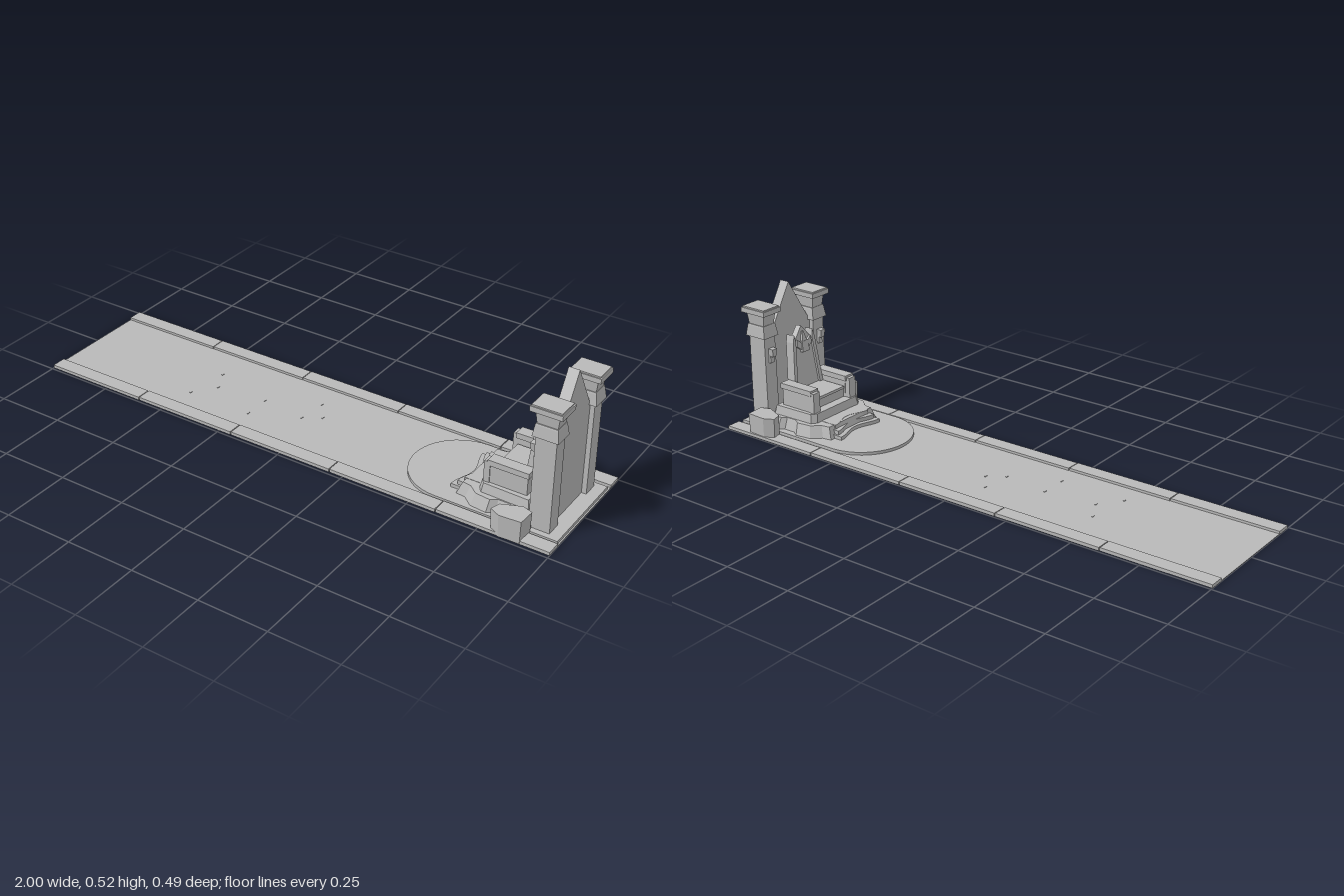
import * as THREE from 'three';

const stone = new THREE.MeshStandardMaterial({ color: 0xb8b8b8 });
stone.name = 'grey stone';

export function createModel() {
  const model = new THREE.Group();
  model.name = 'throneHall';

  const add = (name, geometry) => {
    const mesh = new THREE.Mesh(geometry, stone);
    mesh.name = name;
    model.add(mesh);
    return mesh;
  };
  const box = (name, x0, x1, y0, y1, z0, z1) => {
    const g = new THREE.BoxGeometry(x1 - x0, y1 - y0, Math.abs(z1 - z0));
    g.translate((x0 + x1) / 2, (y0 + y1) / 2, (z0 + z1) / 2);
    return add(name, g);
  };
  // Upright block on an (x, z) outline; the top is scaled about (cx, cz)
  const block = (name, pts, y0, y1, scale = 1, cx = 0, cz = 0) => {
    const shape = new THREE.Shape(pts.map(([x, z]) => new THREE.Vector2(x, -z)));
    const g = new THREE.ExtrudeGeometry(shape, { depth: y1 - y0, bevelEnabled: false });
    g.rotateX(-Math.PI / 2);
    const p = g.attributes.position;
    for (let i = 0; i < p.count; i++) {
      if (p.getY(i) > (y1 - y0) / 2) {
        p.setX(i, cx + (p.getX(i) - cx) * scale);
        p.setZ(i, cz + (p.getZ(i) - cz) * scale);
      }
    }
    g.translate(0, y0, 0);
    g.computeVertexNormals();
    return add(name, g);
  };
  const rect = (cx, cz, hx, hz) => [[cx - hx, cz - hz], [cx + hx, cz - hz], [cx + hx, cz + hz], [cx - hx, cz + hz]];
  const mirrored = (half) => [...half, ...half.slice().reverse().map(([x, z]) => [x, -z])];
  // Gable-shaped panel given as (z, y) corners, thick along x
  const panel = (name, pts, x0, x1) => {
    const g = new THREE.ExtrudeGeometry(new THREE.Shape(pts.map(([z, y]) => new THREE.Vector2(-z, y))),
      { depth: x1 - x0, bevelEnabled: false });
    g.rotateY(Math.PI / 2);
    g.translate(x0, 0, 0);
    return add(name, g);
  };

  // Floor, plinth and round platform
  box('floor', -1, 1, 0.001, 0.003, -0.192, 0.192);
  box('plinth', 0.56, 0.995, 0, 0.014, -0.177, 0.177);
  const disc = add('roundPlatform', new THREE.CylinderGeometry(0.177, 0.177, 0.014, 48));
  disc.position.set(0.56, 0.007, 0);

  // Kerbs in five segments on each side
  for (const s of [-1, 1]) {
    for (let i = 0; i < 5; i++) {
      const x = -1 + i * 0.4, shift = s < 0 ? i * 0.0012 : -i * 0.0012;
      box('kerb', x, x + (i < 4 ? 0.397 : 0.4), 0, 0.012, s * (0.188 + shift), s * (0.242 + shift));
    }
  }

  // Small chips on the floor
  for (const [x, z] of [[0, -0.02], [-0.06, 0.02], [-0.05, -0.09], [-0.23, 0.1], [-0.23, 0], [-0.42, 0.02], [-0.46, -0.06], [-0.48, 0.1]]) {
    box('floorChip', x - 0.002, x + 0.002, 0.002, 0.005, z - 0.006, z + 0.006);
  }

  // Back wall with pointed top
  panel('backWall', [[-0.105, 0.012], [0.105, 0.012], [0.105, 0.34], [0.092, 0.362], [0, 0.517], [-0.092, 0.362], [-0.105, 0.34]], 0.902, 0.94);

  for (const s of [-1, 1]) {
    // Pillar: shaft, collar, flared capital and slab
    const z = s * 0.128, x = 0.92;
    block('pillarShaft', rect(x, z, 0.037, 0.028), 0.012, 0.35, 0.97, x, z);
    block('pillarCollar', rect(x, z, 0.045, 0.036), 0.347, 0.386, 0.86, x, z);
    block('pillarRing', rect(x, z, 0.039, 0.031), 0.386, 0.392, 0.95, x, z);
    block('pillarCapital', rect(x, z, 0.035, 0.026), 0.39, 0.435, 1.17, x, z);
    block('pillarSlab', rect(x, z, 0.055, 0.043), 0.435, 0.453, 1, x, z);
    block('pillarTop', rect(x, z, 0.051, 0.039), 0.453, 0.458, 1, x, z);

    // Wall bracket on the pillar face
    box('bracketPlate', 0.875, 0.886, 0.25, 0.3, z - 0.009, z + 0.009);
    block('bracketCup', rect(0.871, z, 0.007, 0.008), 0.275, 0.305, 1.5, 0.871, z);

    // Rough boulder beside the pillar
    block('sideBoulder', [[0.79, 0.225], [0.825, 0.243], [0.897, 0.238], [0.9, 0.175], [0.865, 0.163], [0.8, 0.19]]
      .map(([a, b]) => [a, s * b]), 0.003, 0.084, 1.05, 0.85, s * 0.205);
  }

  // Stepped base below the seat
  block('daisLower', mirrored([[0.61, 0.125], [0.645, 0.13], [0.68, 0.16], [0.74, 0.167], [0.765, 0.15], [0.81, 0.15], [0.83, 0.165], [0.895, 0.165]]),
    0.014, 0.056, 0.91, 0.79, 0);
  block('daisUpper', mirrored([[0.685, 0.11], [0.7, 0.13], [0.87, 0.135]]), 0.056, 0.088, 0.95, 0.79, 0);

  // Curved front steps
  for (let i = 0; i < 3; i++) {
    const x = 0.578 + i * 0.02, w = 0.105 - i * 0.008;
    const front = [];
    for (let k = 0; k <= 12; k++) {
      const t = (k / 12) * 2 - 1;
      front.push([x + 0.026 * Math.pow(Math.cos(t * Math.PI / 2), 2), t * w]);
    }
    block('frontStep', [...front, [0.7, w], [0.7, -w]], 0.013, 0.027 + i * 0.015);
  }

  // Seat and arms
  box('seatBlock', 0.725, 0.86, 0.086, 0.122, -0.08, 0.08);
  box('seatCushion', 0.718, 0.84, 0.122, 0.132, -0.073, 0.073);
  for (const s of [-1, 1]) {
    box('armPanel', 0.717, 0.85, 0.086, 0.152, s * 0.078, s * 0.11);
    box('armRest', 0.71, 0.855, 0.152, 0.172, s * 0.073, s * 0.115);
    box('armFrontPost', 0.697, 0.718, 0.086, 0.164, s * 0.08, s * 0.113);
  }

  // Leaning backrest with frame posts, pointed crest and carved ornament
  const back = new THREE.Group();
  back.name = 'backrest';
  const parts = [
    panel('backPanel', [[-0.066, 0], [0.066, 0], [0.047, 0.19], [0, 0.245], [-0.047, 0.19]], -0.01, 0.014),
    block('ornamentCore', rect(-0.016, 0, 0.008, 0.018), 0.15, 0.19, 0.8, -0.016, 0),
    block('ornamentTip', rect(-0.014, 0, 0.007, 0.011), 0.19, 0.225, 0.3, -0.014, 0),
  ];
  for (const s of [-1, 1]) {
    parts.push(panel('backPost', [[s * 0.076, 0], [s * 0.06, 0], [s * 0.042, 0.195], [s * 0.048, 0.222], [s * 0.056, 0.195]], -0.018, 0.018));
    parts.push(panel('ornamentWing', [[s * 0.012, 0.155], [s * 0.038, 0.175], [s * 0.034, 0.2], [s * 0.012, 0.182]], -0.019, -0.008));
  }
  back.add(...parts);
  back.position.set(0.838, 0.115, 0);
  back.rotation.z = -0.09;
  model.add(back);

  return model;
}
